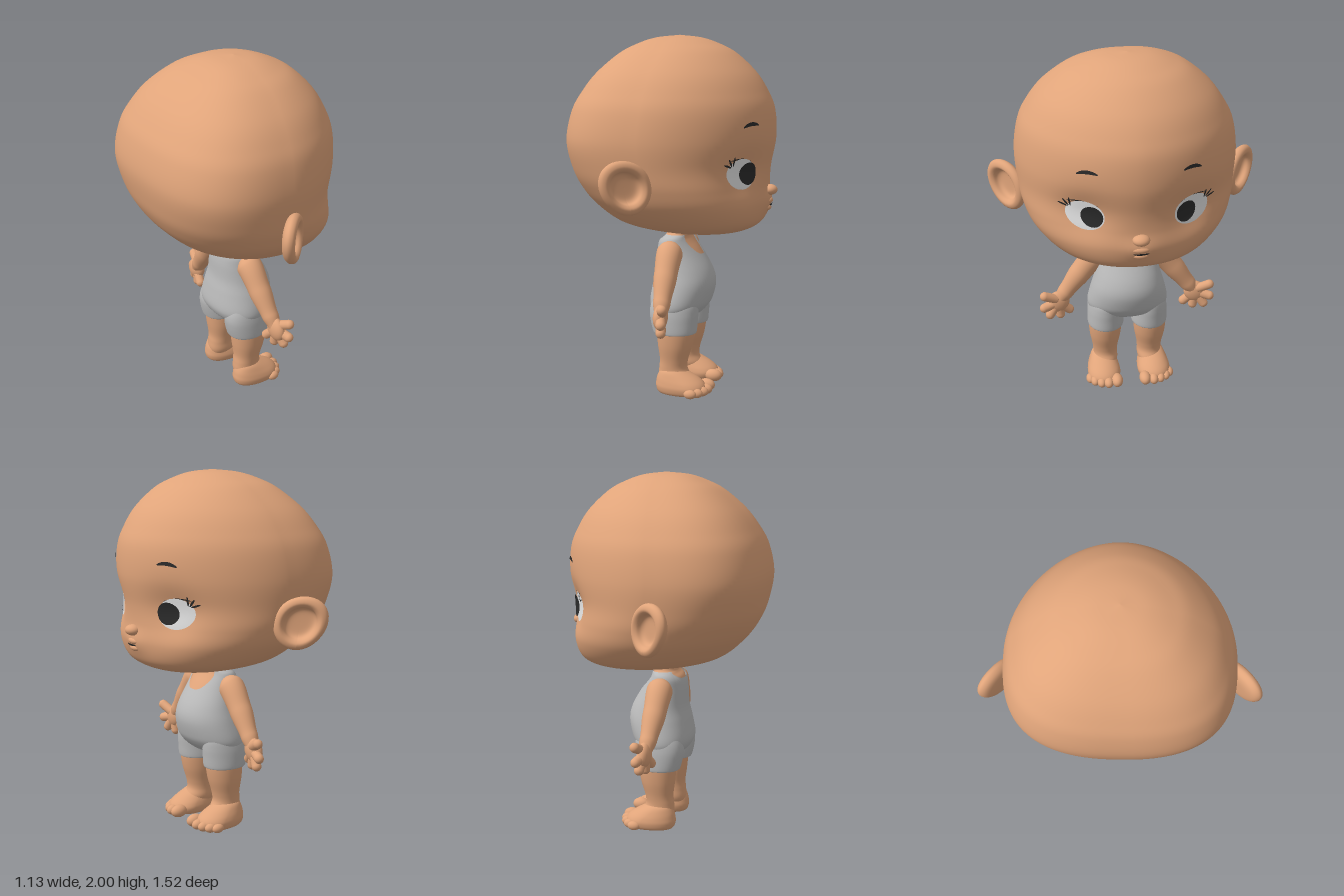
import * as THREE from 'three';

const mat = (name, color, side = THREE.FrontSide) => {
  const m = new THREE.MeshStandardMaterial({ color, side });
  m.name = name;
  return m;
};
const skin = mat('skin', 0xe0a47a);
const cloth = mat('grey cloth', 0xbababa, THREE.DoubleSide);
const white = mat('eye white', 0xf0f0f0);
const dark = mat('dark', 0x2b2b2b);
const { smoothstep, lerp, clamp } = THREE.MathUtils;

const named = (name, geo, material) => {
  const m = new THREE.Mesh(geo, material);
  m.name = name;
  return m;
};

// Closed-around grid surface: fn(v, angle) -> [x, y, z]
function surface(name, fn, nv, nt, material) {
  const pos = [], idx = [];
  for (let i = 0; i <= nv; i++)
    for (let j = 0; j < nt; j++) pos.push(...fn(i / nv, (j / nt) * Math.PI * 2));
  for (let i = 0; i < nv; i++)
    for (let j = 0; j < nt; j++) {
      const k = (j + 1) % nt, a = i * nt, b = a + nt;
      idx.push(a + j, a + k, b + j, a + k, b + k, b + j);
    }
  const g = new THREE.BufferGeometry();
  g.setAttribute('position', new THREE.Float32BufferAttribute(pos, 3));
  g.setIndex(idx);
  g.computeVertexNormals();
  return named(name, g, material);
}

// Smooth list of cross-sections [y, halfWidth, zBack, zFront, zWidest]
function sections(rows, n) {
  const smooth = pick => new THREE.CatmullRomCurve3(rows.map(r => new THREE.Vector3(...pick(r))), false, 'catmullrom');
  const a = smooth(r => [r[0], r[1], r[4] ?? (r[2] + r[3]) / 2]), b = smooth(r => [r[0], r[2], r[3]]);
  return Array.from({ length: n + 1 }, (_, i) => {
    const p = a.getPoint(i / n), q = b.getPoint(i / n);
    return [p.x, Math.max(p.y, 0.0005), q.y, q.z, p.z];
  });
}
function sectionAt(list, y) {
  let i = 1;
  while (i < list.length - 1 && list[i][0] < y) i++;
  const a = list[i - 1], b = list[i];
  const f = clamp((y - a[0]) / (b[0] - a[0] || 1), 0, 1);
  return a.map((v, k) => v + (b[k] - v) * f);
}
// Point on a cross-section; nb and nf are how square the back and front are
function ringPoint([y, w, zb, zf, zc], t, nb = 2.2, nf = 2, grow = 0) {
  const s = Math.sin(t), c = Math.cos(t), e = 2 / (c >= 0 ? nf : nb);
  const depth = c >= 0 ? zf - zc + grow : -(zc - zb + grow);
  return [Math.sign(s) * Math.abs(s) ** e * (w + grow), y, zc + Math.abs(c) ** e * depth];
}
function loft(name, rows, n, nt, material, cx = 0) {
  const list = sections(rows, n);
  return surface(name, (v, t) => {
    const p = ringPoint(list[Math.round(v * n)], t);
    return [p[0] + cx, p[1], p[2]];
  }, n, nt, material);
}

const HEAD = sections([
  [0.93, 0, 0.16, 0.16, 0.16], [0.934, 0.18, -0.01, 0.33, 0.16], [0.952, 0.305, -0.15, 0.42, 0.14],
  [1.0, 0.43, -0.325, 0.485, 0.09], [1.1, 0.534, -0.445, 0.515, 0.03], [1.2, 0.579, -0.513, 0.515, 0],
  [1.3, 0.597, -0.549, 0.522, -0.03], [1.45, 0.608, -0.57, 0.547, -0.05], [1.6, 0.583, -0.54, 0.538, -0.04],
  [1.7, 0.535, -0.488, 0.498, -0.03], [1.8, 0.461, -0.413, 0.432, -0.02], [1.9, 0.345, -0.302, 0.325, 0],
  [1.95, 0.25, -0.213, 0.235, 0], [1.985, 0.138, -0.115, 0.133, 0.01], [2, 0, 0.01, 0.01, 0.01],
], 120);
// The jaw is full and the brow is narrower
const faceSquare = y => 2.1 - 0.25 * smoothstep(y, 1.05, 1.35) + 0.1 * smoothstep(y, 1.6, 1.9);
// Shallow eye sockets and a soft swelling around the mouth
const bell = (x, y, rx, ry) => Math.exp(-((x / rx) ** 2) - (y / ry) ** 2);
const relief = (x, y) => 0.016 * bell(x, y - 1.1, 0.09, 0.06) - 0.04 * bell(Math.abs(x) - 0.28, y - 1.28, 0.13, 0.13);
function faceZ(x, y) {
  const [, w, , zf, zc] = sectionAt(HEAD, y), n = faceSquare(y);
  return zc + (zf - zc) * Math.max(0, 1 - Math.abs(x / w) ** n) ** (1 / n) + relief(x, y);
}

// Thin oval plate that follows the face
function plate(name, cx, cy, rx, ry, material, { rot = 0, bend = 0, lift = 0.004, bulge = 0 } = {}) {
  return surface(name, (v, t) => {
    const a = Math.sin(t) * rx * v, b = Math.cos(t) * ry * v + bend * (1 - (Math.sin(t) * v) ** 2);
    const x = cx + a * Math.cos(rot) - b * Math.sin(rot), y = cy + a * Math.sin(rot) + b * Math.cos(rot);
    return [x, y, faceZ(x, y) + lift + bulge * (1 - v * v)];
  }, 8, 36, material);
}

// Tapered limb along a path
function limb(name, pts, radii, material) {
  const curve = new THREE.CatmullRomCurve3(pts.map(p => new THREE.Vector3(...p)));
  const Z = new THREE.Vector3(0, 0, 1);
  return surface(name, (v, t) => {
    const f = v * (radii.length - 1), i = Math.min(Math.floor(f), radii.length - 2);
    const r = lerp(radii[i], radii[i + 1], smoothstep(f - i, 0, 1));
    const X = curve.getTangent(v).cross(Z).normalize();
    return curve.getPoint(v).addScaledVector(X, r * Math.sin(t)).addScaledVector(Z, r * Math.cos(t)).toArray();
  }, 40, 28, material);
}
function ball(name, [x, y, z], [rx, ry, rz], rot = 0) {
  return named(name, new THREE.SphereGeometry(1, 24, 16).scale(rx, ry, rz).rotateZ(rot).translate(x, y, z), skin);
}
function digit(name, a, b, r) {
  const A = new THREE.Vector3(...a), d = new THREE.Vector3(...b).sub(A), len = d.length();
  const m = named(name, new THREE.CapsuleGeometry(r, len, 6, 14), skin);
  m.position.copy(A).addScaledVector(d, 0.5);
  m.quaternion.setFromUnitVectors(new THREE.Vector3(0, 1, 0), d.normalize());
  return m;
}

// Cupped ear with a thick rounded rim, turned out and back
function ear(s) {
  const profile = [[0, -0.042], [0.07, -0.04], [0.112, -0.027], [0.13, 0], [0.122, 0.024], [0.1, 0.033],
    [0.082, 0.02], [0.072, -0.004], [0.05, -0.016], [0, -0.018]].map(p => new THREE.Vector2(...p));
  const g = new THREE.LatheGeometry(new THREE.SplineCurve(profile).getPoints(40).map(p => p.setX(Math.max(p.x, 0))), 40);
  g.rotateX(Math.PI / 2);
  const p = g.attributes.position;
  for (let i = 0; i < p.count; i++) {
    const y = p.getY(i) * 1.07;
    p.setXY(i, p.getX(i) * (1.07 + y * 0.6) + s * y * 0.16, y);
  }
  g.computeVertexNormals();
  g.rotateY(s * 0.87).translate(s * 0.655, 1.238, -0.088);
  return named('ear', g, skin);
}

export function createModel() {
  const root = new THREE.Group(), doll = new THREE.Group();
  root.name = 'babyDoll';
  doll.name = 'body';
  doll.rotation.y = Math.PI / 2; // the face looks along +x
  root.add(doll);

  // Head, nose and mouth
  doll.add(surface('head', (v, t) => {
    const r = HEAD[Math.round(v * 120)];
    const p = ringPoint(r, t, 2.15 + 0.6 * smoothstep(r[0], 1.0, 1.45), faceSquare(r[0]));
    p[2] += relief(p[0], p[1]) * clamp(Math.cos(t) * 4, 0, 1);
    return p;
  }, 120, 112, skin));
  doll.add(ball('nose', [0, 1.165, 0.522], [0.046, 0.03, 0.042]));
  doll.add(ball('upperLip', [0, 1.106, 0.514], [0.05, 0.02, 0.025]));
  doll.add(ball('lowerLip', [0, 1.068, 0.504], [0.045, 0.02, 0.027]));
  doll.add(plate('mouth', 0, 1.088, 0.042, 0.006, dark, { bend: -0.003, lift: 0.006 }));

  // Torso, with the suit cut to a scooped neckline
  const torso = [
    [0.41, 0.03, -0.02, 0.04], [0.425, 0.12, -0.07, 0.09], [0.45, 0.195, -0.11, 0.13], [0.485, 0.22, -0.133, 0.163],
    [0.53, 0.223, -0.14, 0.188], [0.62, 0.203, -0.125, 0.207], [0.7, 0.18, -0.108, 0.188], [0.8, 0.157, -0.102, 0.13],
    [0.86, 0.15, -0.09, 0.09], [0.89, 0.138, -0.065, 0.075], [0.91, 0.108, -0.055, 0.085], [0.96, 0.1, -0.05, 0.11],
  ];
  doll.add(loft('torso', torso, 60, 48, skin));
  const shape = sections(torso, 100);
  doll.add(surface('suit', (v, t) => {
    const low = Math.cos(t) > 0 ? 0.787 : 0.86;
    const top = low + (0.903 - low) * Math.min(1, Math.abs(Math.sin(t) / 0.72) ** 3);
    const y = 0.41 + (top - 0.41) * v ** 1.3;
    return ringPoint(sectionAt(shape, y), t, 2.2, 2, 0.009);
  }, 50, 80, cloth));

  for (const s of [-1, 1]) {
    doll.add(ear(s));

    // Eye, lashes and brow
    doll.add(plate('eyeWhite', s * 0.277, 1.28, 0.097, 0.081, white, { rot: s * 0.2, bulge: 0.012 }));
    doll.add(plate('iris', s * 0.244, 1.28, 0.055, 0.059, dark, { lift: 0.019, bulge: 0.002 }));
    doll.add(plate('lidLine', s * 0.29, 1.347, 0.075, 0.004, dark, { rot: s * 0.08, bend: 0.012 }));
    [[0.352, 1.352, 1.4], [0.372, 1.345, 0.9], [0.385, 1.33, 0.35]].forEach(([x, y, a]) =>
      doll.add(plate('lash', s * x, y, 0.026, 0.005, dark, { rot: s * a, lift: 0.016 })));
    doll.add(plate('brow', s * 0.267, 1.529, 0.052, 0.01, dark, { bend: 0.012, rot: -s * 0.08 }));

    // Arm and hand
    doll.add(limb('arm', [[s * 0.1, 0.845, 0], [s * 0.172, 0.81, 0], [s * 0.265, 0.7, 0.003], [s * 0.355, 0.58, 0.01],
      [s * 0.4, 0.52, 0.015]], [0.03, 0.073, 0.064, 0.048, 0.035], skin));
    doll.add(ball('palm', [s * 0.405, 0.512, 0.017], [0.064, 0.072, 0.038], s * 0.6));
    doll.add(digit('thumb', [s * 0.42, 0.54, 0.03], [s * 0.484, 0.572, 0.048], 0.027));
    [[0.488, 0.49, 0.042], [0.455, 0.437, 0.033], [0.394, 0.427, 0.016], [0.34, 0.445, 0]].forEach(([x, y, z]) =>
      doll.add(digit('finger', [s * 0.405, 0.51, 0.017], [s * x, y, z], 0.027)));

    // Short leg of the suit, fading into the hips
    doll.add(loft('suitLeg', [[0.362, 0.088, -0.085, 0.12], [0.354, 0.1, -0.1, 0.136], [0.365, 0.106, -0.107, 0.143],
      [0.42, 0.106, -0.12, 0.148], [0.47, 0.103, -0.125, 0.152], [0.52, 0.094, -0.116, 0.15],
      [0.57, 0.074, -0.09, 0.13], [0.62, 0.03, -0.04, 0.06]], 42, 44, cloth, s * 0.129));

    // Leg and foot
    doll.add(loft('leg', [[0.05, 0.05, -0.06, 0.09], [0.1, 0.071, -0.073, 0.11], [0.15, 0.071, -0.07, 0.09],
      [0.2, 0.076, -0.066, 0.095], [0.28, 0.091, -0.076, 0.118], [0.36, 0.097, -0.082, 0.13],
      [0.42, 0.095, -0.08, 0.125]], 40, 36, skin, s * 0.133));
    doll.add(loft('foot', [[0.003, 0.001, 0.05, 0.052], [0.005, 0.065, -0.05, 0.16, 0.07], [0.015, 0.088, -0.075, 0.19, 0.09],
      [0.045, 0.097, -0.085, 0.202, 0.095], [0.072, 0.092, -0.083, 0.19, 0.08], [0.1, 0.08, -0.077, 0.155, 0.05],
      [0.13, 0.064, -0.063, 0.1, 0.02], [0.15, 0.045, -0.045, 0.06, 0.01]], 40, 40, skin, s * 0.15));
    [[0.084, 0.19, 0.036], [0.135, 0.196, 0.03], [0.176, 0.186, 0.028], [0.212, 0.164, 0.027], [0.238, 0.135, 0.026]]
      .forEach(([x, z, r]) => doll.add(ball('toe', [s * x, r + 0.005, z], [r * 0.95, r, r * 1.4])));
  }
  return root;
}
